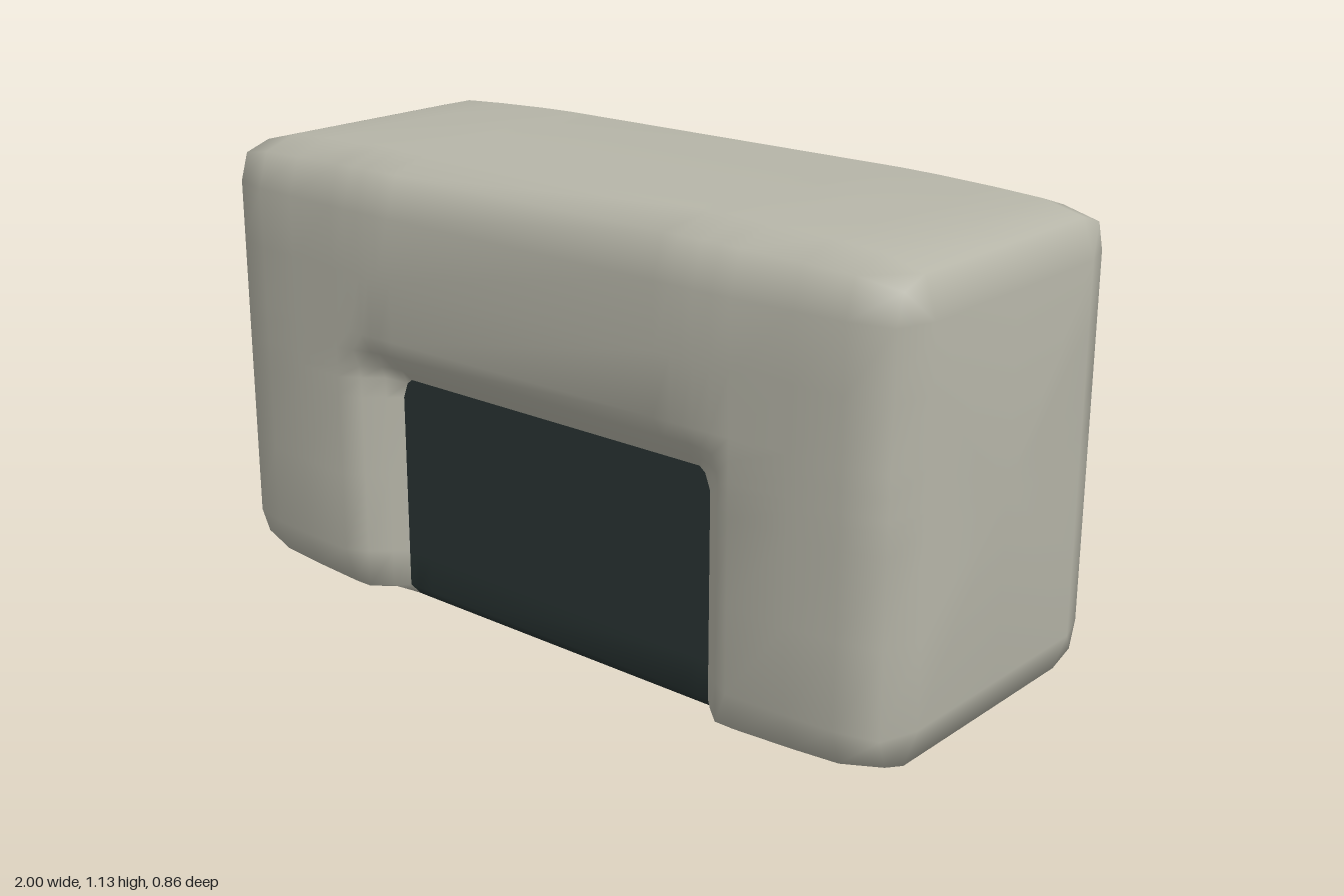
import * as THREE from 'three';
import { mergeVertices } from 'three/addons/utils/BufferGeometryUtils.js';

const shellMat = new THREE.MeshStandardMaterial({ color: 0xb6b5a8 });
shellMat.name = 'warm grey';
const panelMat = new THREE.MeshStandardMaterial({ color: 0x293433 });
panelMat.name = 'dark slate';

const H = 1.13, D = 0.43, R = 0.13;  // height, half depth, edge rounding
const NX = 0.475, NY = 0.58;         // half width and top of the inset
const RECESS = 0.1;                  // depth of the inset

// stations along x as [x, inset of the section], mirrored to both ends
const half = [[0.4, 0], [0.445, 0], [NX, 0], [0.505, 0], [0.55, 0.001],
  [0.6, 0.002], [0.75, 0.008], [0.87, 0.015], [0.97, 0.04], [1, R]];
const stations = [...half.map(([x, e]) => [-x, e]).reverse(), ...half];

// rounded section as [z, y]: up the front, then down the back
const front = [[0, 0], [0.3, 0], [0.4, 0.035], [D, R], [D, 0.33], [D, 0.53], [D, NY],
  [D, 0.61], [D, 0.655], [D, 0.705], [D, 0.85], [D, 1], [0.4, 1.097], [0.3, H], [0, H]];
const ring = [...front, ...front.slice(1, -1).reverse().map(([z, y]) => [-z, y])];
const n = ring.length;

// shrinks the rounded margin beyond a core half-size
function shrink(v, core, e) {
  const over = Math.max(Math.abs(v) - core, 0);
  return Math.sign(v) * (Math.min(Math.abs(v), core) + over * (1 - e / R));
}

// position on the surface, pressed inward around the inset
function place([x, e], [z0, y0]) {
  let z = shrink(z0, D - R, e);
  let y = H / 2 + shrink(y0 - H / 2, H / 2 - R, e);
  const d = Math.hypot(Math.max(Math.abs(x) - NX, 0), Math.max(y0 - NY, 0)) / 0.125;
  const m = Math.max(0, 1 - d) ** 1.3;
  const limit = D - e - RECESS * m;
  if (m > 0) z = THREE.MathUtils.clamp(z, -limit, limit);
  y += 0.006 * m * Math.max(0, 1 - y0 / R);
  // softened upper corners of the inset
  if (Math.abs(x) === NX && y0 === NY) return [x * 0.97, y - 0.012, z];
  return [x, y, z];
}

function surface(name, material, cells, caps) {
  const pos = stations.flatMap(s => ring.flatMap(r => place(s, r)));
  const index = [];
  for (let i = 0; i < stations.length - 1; i++) {
    for (let j = 0; j < n; j++) {
      const k = (j + 1) % n;
      const x = (stations[i][0] + stations[i + 1][0]) / 2;
      const y = (ring[j][1] + ring[k][1]) / 2;
      if (!cells(Math.abs(x) < NX && y < NY)) continue;
      const a = i * n + j, b = a + n, c = (i + 1) * n + k, d = i * n + k;
      index.push(a, b, c, a, c, d);
    }
  }
  // flat ends
  if (caps) {
    const mid = pos.length / 3, last = (stations.length - 1) * n;
    pos.push(-1, H / 2, 0, 1, H / 2, 0);
    for (let j = 0; j < n; j++) {
      const k = (j + 1) % n;
      index.push(mid, j, k, mid + 1, last + k, last + j);
    }
  }
  let geo = new THREE.BufferGeometry();
  geo.setAttribute('position', new THREE.Float32BufferAttribute(pos, 3));
  geo.setIndex(index);
  geo = mergeVertices(geo, 1e-4);
  geo.computeVertexNormals();
  const mesh = new THREE.Mesh(geo, material);
  mesh.name = name;
  return mesh;
}

export function createModel() {
  const group = new THREE.Group();
  group.name = 'roundedArchBlock';
  group.add(surface('archShell', shellMat, inset => !inset, true));
  group.add(surface('insetPanel', panelMat, inset => inset, false));
  return group;
}
